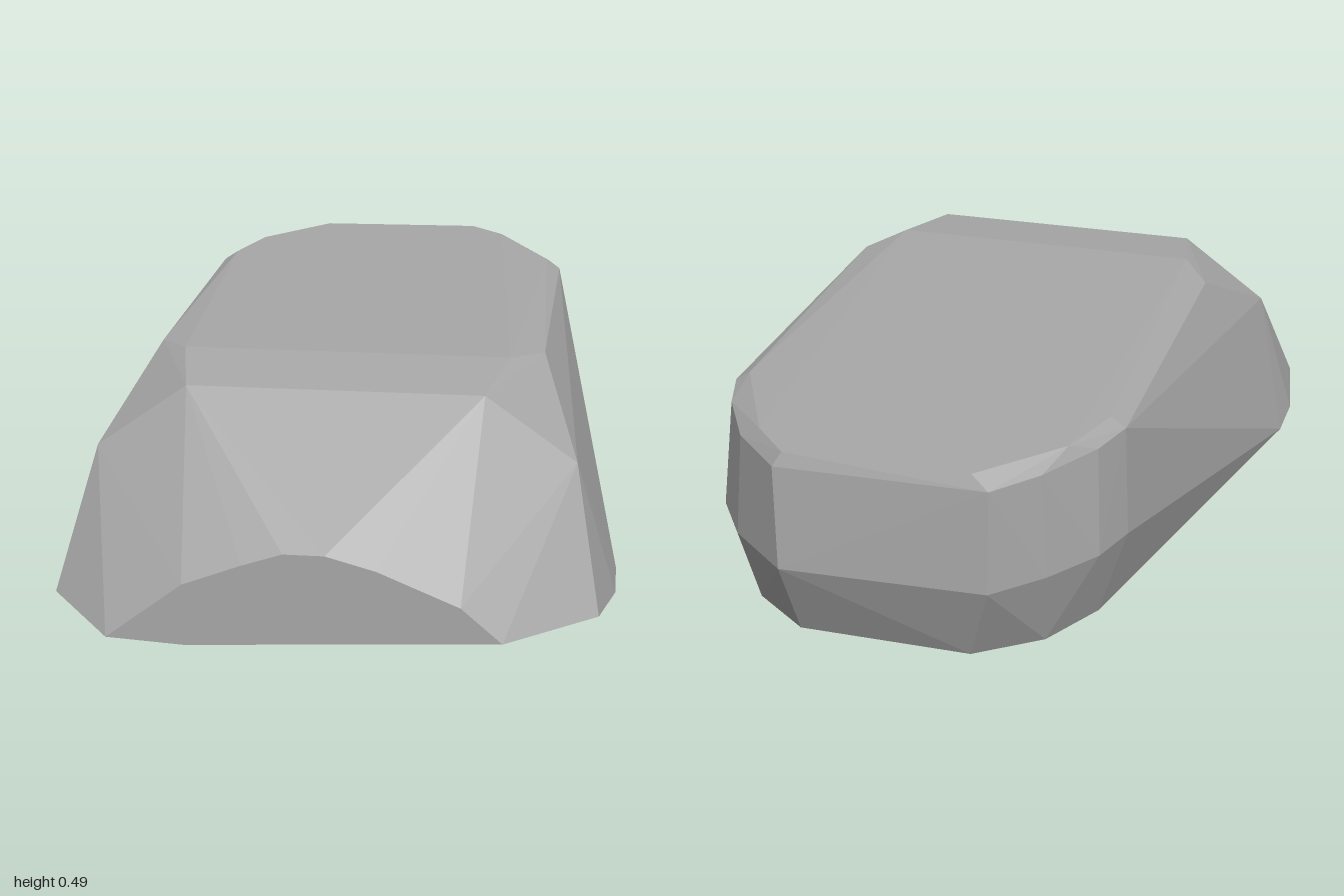
import * as THREE from 'three';
import { ConvexGeometry } from 'three/addons/geometries/ConvexGeometry.js';

// Corners that appear on both sides (x is mirrored)
const mirrored = [
  // base outline, front to back
  [0.61, 0.025, 0.8], [0.645, 0, 0.6], [0.645, 0, 0.45],
  [0.42, 0.003, -0.64], [0.34, 0.004, -0.8], [0.2, 0.005, -0.91],
  // shoulders of the sloping nose
  [0.55, 0.31, 0.6], [0.34, 0.46, 0.6], [0.46, 0.468, 0.27],
  // widest band around the tail
  [0.48, 0.2, -0.62], [0.445, 0.2, -0.74], [0.36, 0.2, -0.87],
  // upper rim of the tail
  [0.465, 0.45, -0.6], [0.43, 0.445, -0.71], [0.345, 0.44, -0.86],
  // top plateau
  [0.385, 0.485, 0.38], [0.43, 0.473, -0.6],
];

// Corners that differ between the sides
const single = [
  // arched front face
  [-0.45, 0.01, 1], [-0.28, 0.14, 1], [-0.15, 0.19, 1], [-0.06, 0.22, 1],
  [0.03, 0.22, 1], [0.14, 0.19, 1], [0.32, 0.115, 1], [0.41, 0.037, 1], [-0.28, 0, 1],
  // blunt tail
  [-0.26, 0.2, -0.98], [0.21, 0.2, -1], [-0.26, 0.44, -0.97], [0.22, 0.44, -0.985],
  [-0.22, 0.473, -0.96], [0.2, 0.473, -0.975], [-0.38, 0.473, -0.77], [0.29, 0.474, -0.88],
];

export function createModel() {
  const group = new THREE.Group();
  group.name = 'boulder';
  const stone = new THREE.MeshStandardMaterial({ color: 0xa8a8a8 });
  stone.name = 'stone grey';

  const points = single.map((p) => new THREE.Vector3(...p));
  for (const [x, y, z] of mirrored) {
    points.push(new THREE.Vector3(x, y, z), new THREE.Vector3(-x, y, z));
  }

  // Faceted rock body
  const body = new THREE.Mesh(new ConvexGeometry(points), stone);
  body.name = 'rockBody';
  group.add(body);
  return group;
}
